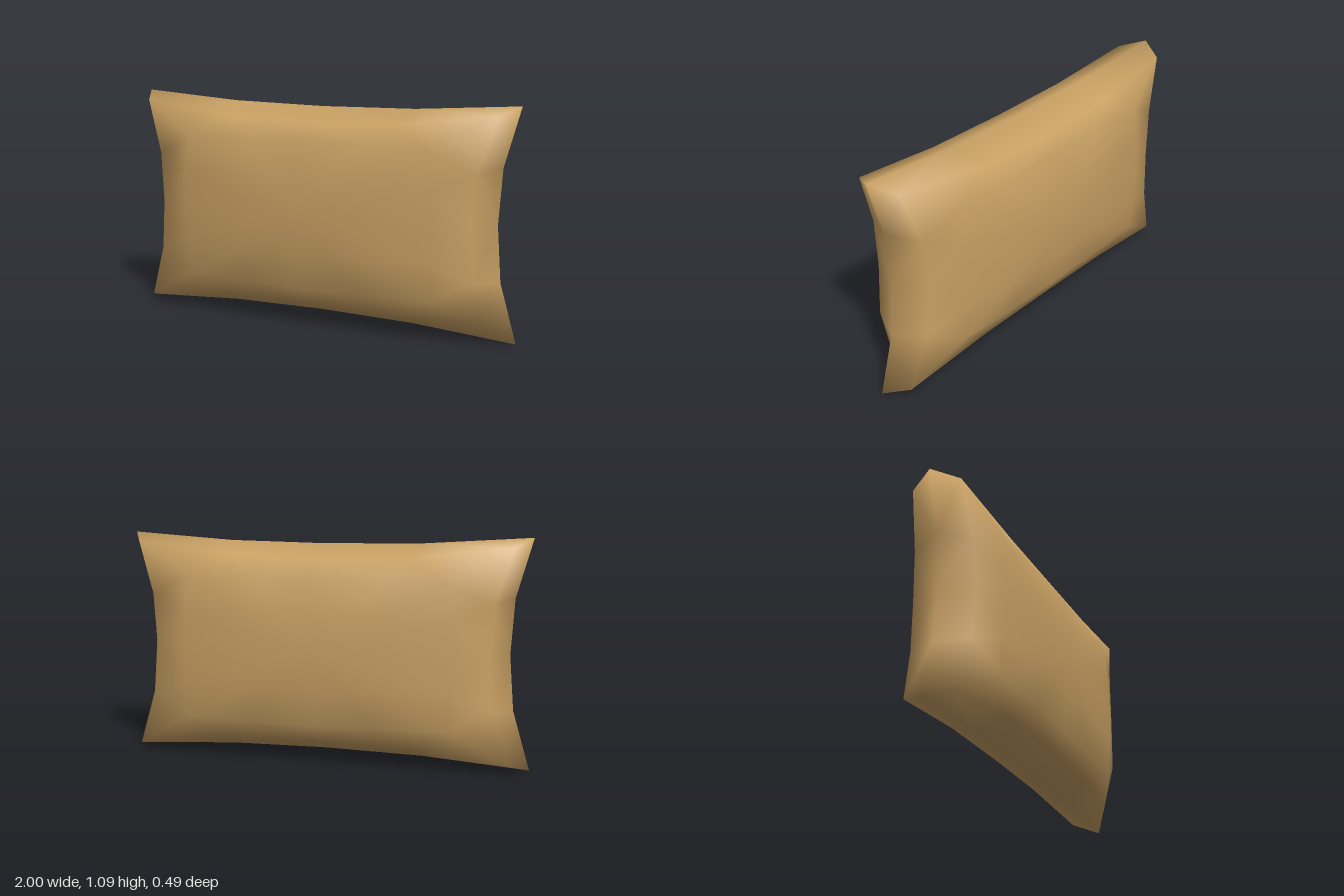
import * as THREE from 'three';

// Concentric rings from the seam inwards: [x, y, z] at the corner,
// then half width, half height and z at the middle of each side
const RINGS = [
  { corner: [1.0, 0.545, 0], mid: [0.9, 0.503, 0] },
  { corner: [0.93, 0.505, 0.12], mid: [0.825, 0.437, 0.155] },
  { corner: [0.64, 0.345, 0.195], mid: [0.66, 0.355, 0.206] },
  { corner: [0.34, 0.185, 0.235], mid: [0.34, 0.185, 0.241] },
];
const CENTRE_Y = 0.545;
const SEGMENTS = 4; // per side
const COUNT = SEGMENTS * 4;

// One ring, walked counter-clockwise as seen from the front
function ringPoints({ corner, mid }, face) {
  const points = [];
  for (let side = 0; side < 4; side++) {
    for (let i = 0; i < SEGMENTS; i++) {
      const t = -1 + (2 * i) / SEGMENTS;
      const bow = Math.abs(t) ** 2.4;
      const along = t * 0.96 + 0.04 * t * t * t;
      const z = THREE.MathUtils.lerp(mid[2], corner[2], Math.abs(t) ** 2) * face;
      const x = THREE.MathUtils.lerp(mid[0], corner[0], bow);
      const y = THREE.MathUtils.lerp(mid[1], corner[1], bow);
      const p = [
        [x, corner[1] * along],
        [-corner[0] * along, y],
        [-x, -corner[1] * along],
        [corner[0] * along, -y],
      ][side];
      points.push([p[0], p[1] + CENTRE_Y, z]);
    }
  }
  return points;
}

function cushionGeometry() {
  const positions = [];
  const index = [];
  const addRing = (ring) => {
    const start = positions.length / 3;
    ring.forEach((p) => positions.push(...p));
    return start;
  };

  // The seam is shared by both faces so the shading runs smoothly over it
  const seam = addRing(ringPoints(RINGS[0], 1));

  for (const face of [1, -1]) {
    const tri = (a, b, c) => index.push(...(face > 0 ? [a, b, c] : [a, c, b]));
    let outer = seam;
    for (let r = 1; r < RINGS.length; r++) {
      const points = ringPoints(RINGS[r], face);
      // Tucked-in fold at the lower front corner
      if (r === 1 && face > 0) points[0] = [0.83, 0.11, 0.105];
      const inner = addRing(points);
      for (let i = 0; i < COUNT; i++) {
        const j = (i + 1) % COUNT;
        // Diagonals mirror about the middle of each side
        if (i % SEGMENTS < SEGMENTS / 2) {
          tri(outer + i, outer + j, inner + i);
          tri(outer + j, inner + j, inner + i);
        } else {
          tri(outer + i, outer + j, inner + j);
          tri(outer + i, inner + j, inner + i);
        }
      }
      outer = inner;
    }
    // Close the middle of the face
    const centre = addRing([[0, CENTRE_Y, 0.245 * face]]);
    for (let i = 0; i < COUNT; i++) tri(outer + i, outer + ((i + 1) % COUNT), centre);
  }

  const geometry = new THREE.BufferGeometry();
  geometry.setAttribute('position', new THREE.Float32BufferAttribute(positions, 3));
  geometry.setIndex(index);
  geometry.computeVertexNormals();
  return geometry;
}

export function createModel() {
  const group = new THREE.Group();
  group.name = 'pillow';
  const fabric = new THREE.MeshStandardMaterial({ color: 0xc8a063 });
  const cushion = new THREE.Mesh(cushionGeometry(), fabric);
  cushion.name = 'cushion';
  group.add(cushion);
  return group;
}
